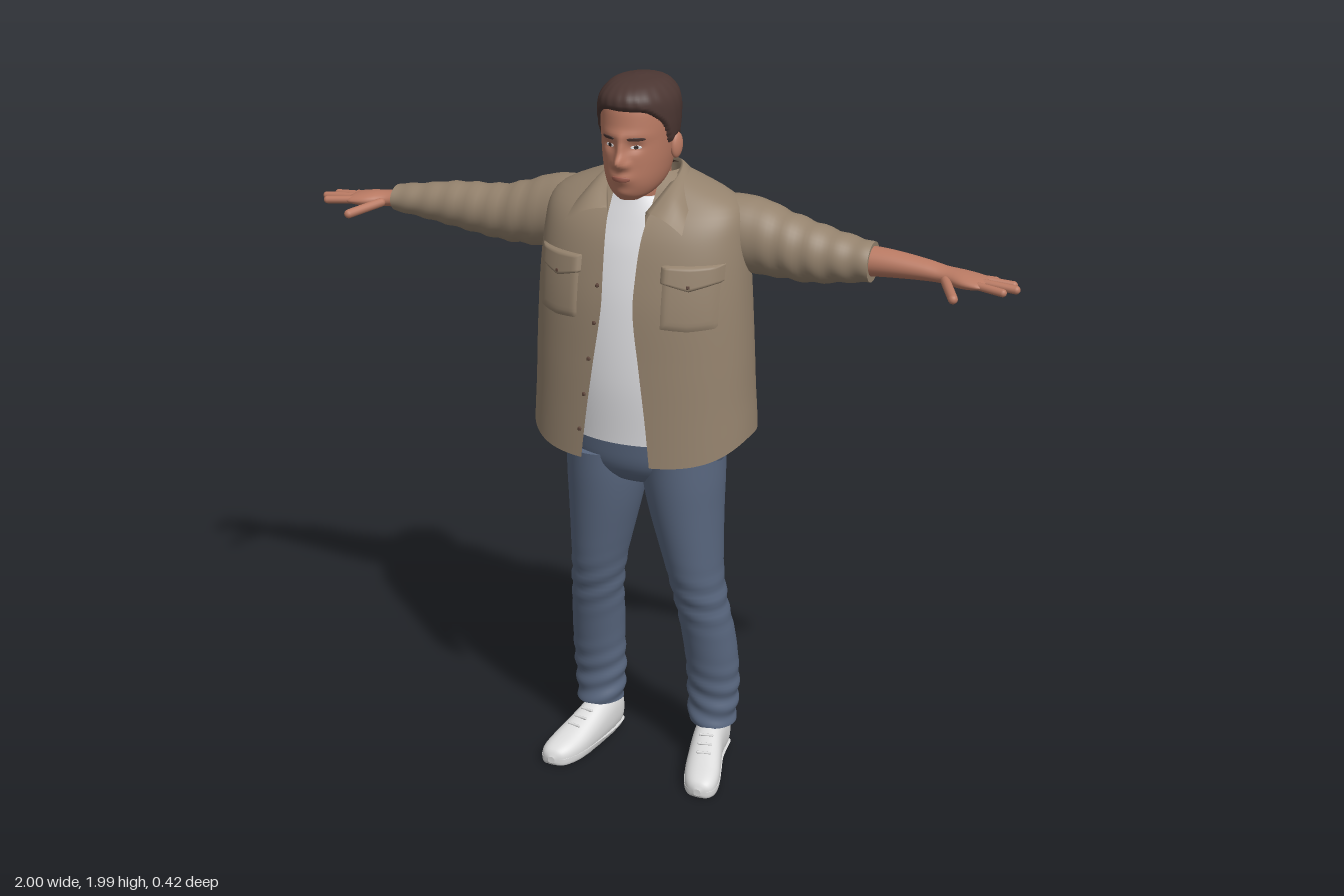
import * as THREE from 'three';

const mat = (name, color, side = THREE.FrontSide) => {
  const m = new THREE.MeshStandardMaterial({ color, side });
  m.name = name;
  return m;
};
const lerp = THREE.MathUtils.lerp, smooth = THREE.MathUtils.smoothstep;
const spow = (v, p) => Math.sign(v) * Math.pow(Math.abs(v), p);
const bell = (d, w) => Math.exp(-(d * d) / (w * w));

// Smoothly interpolates rows of [position, ...values] at position s
function at(keys, s) {
  let i = 0;
  while (i < keys.length - 2 && s > keys[i + 1][0]) i++;
  const a = keys[i], b = keys[i + 1], p = keys[i - 1] ?? a, q = keys[i + 2] ?? b;
  const h = b[0] - a[0], f = THREE.MathUtils.clamp((s - a[0]) / h, 0, 1);
  return a.map((_, k) => {
    const m0 = (b[k] - p[k]) / (b[0] - p[0]) * h, m1 = (q[k] - a[k]) / (q[0] - a[0]) * h;
    const f2 = f * f, f3 = f2 * f;
    return (2 * f3 - 3 * f2 + 1) * a[k] + (f3 - 2 * f2 + f) * m0 + (3 * f2 - 2 * f3) * b[k] + (f3 - f2) * m1;
  });
}

// Grid surface from fn(u, rowValue)
function surface(fn, nu, rows, closed = false, flip = false) {
  const pos = [], idx = [], w = closed ? nu : nu + 1;
  rows.forEach(r => { for (let j = 0; j < w; j++) pos.push(...fn(j / nu, r)); });
  for (let i = 0; i < rows.length - 1; i++) for (let j = 0; j < nu; j++) {
    const a = i * w + j, b = i * w + (j + 1) % w, c = a + w, d = b + w;
    idx.push(...(flip ? [a, d, b, a, c, d] : [a, b, d, a, d, c]));
  }
  const g = new THREE.BufferGeometry();
  g.setAttribute('position', new THREE.Float32BufferAttribute(pos, 3));
  g.setIndex(idx);
  g.computeVertexNormals();
  return g;
}
const steps = n => Array.from({ length: n + 1 }, (_, i) => i / n);

// Capped loft along an axis; keys are [position, c1, c2, r1, r2], c1/c2 on the two following axes
function loft(axis, keys, nu, nv, { p = 1, swell = () => 1, warp = q => q } = {}) {
  const ease = steps(nv).map(v => ({ v: (1 - Math.cos(Math.PI * v)) / 2, k: 1 }));
  const first = ease[0], last = ease[nv];
  const rows = [{ v: 0, k: 0 }, first, ...ease, last, { v: 1, k: 0 }];
  return surface((u, r) => {
    const s = lerp(keys[0][0], keys[keys.length - 1][0], r.v), [, c1, c2, r1, r2] = at(keys, s);
    const t = u * Math.PI * 2, k = r.k * swell(s, t), o = [0, 0, 0];
    o[axis] = s;
    o[(axis + 1) % 3] = c1 + r1 * k * spow(Math.cos(t), p);
    o[(axis + 2) % 3] = c2 + r2 * k * spow(Math.sin(t), p);
    return warp(o, t);
  }, nu, rows, true);
}

function mirrored(g, s) {
  if (s > 0) return g;
  g.scale(-1, 1, 1);
  const a = g.index.array;
  for (let i = 0; i < a.length; i += 3) [a[i], a[i + 1]] = [a[i + 1], a[i]];
  return g;
}

// Thin raised patch following a front surface zAt(x, y), sinking in at its border
const patch = (zAt, xy, off, n = 16) => surface((u, v) => {
  const [x, y] = xy(u, v), e = Math.min(u, 1 - u, v, 1 - v);
  return [x, y, zAt(x, y) + lerp(-0.002, off, Math.min(1, e * 12))];
}, n, steps(n));
const oval = (cx, cy, rx, ry) => (u, v) => {
  const a = u * 2 - 1, b = v * 2 - 1;
  return [cx + rx * a * Math.sqrt(1 - b * b / 2), cy + ry * b * Math.sqrt(1 - a * a / 2)];
};

// Jacket body: [y, half width, front z, back z, opening half width]
const JACKET = [[0.98, 0.31, 0.22, -0.21, 0.098], [1.1, 0.305, 0.215, -0.205, 0.085], [1.25, 0.3, 0.208, -0.195, 0.065],
  [1.4, 0.293, 0.198, -0.185, 0.045], [1.5, 0.287, 0.18, -0.172, 0.046], [1.58, 0.28, 0.157, -0.16, 0.05],
  [1.63, 0.272, 0.13, -0.147, 0.055], [1.665, 0.25, 0.1, -0.135, 0.057], [1.69, 0.205, 0.08, -0.125, 0.058],
  [1.715, 0.14, 0.06, -0.11, 0.056], [1.735, 0.085, 0.04, -0.095, 0.05]];
const JP = 0.9;
function jacketPoint(u, v, shrink) {
  const y = lerp(0.98, 1.735, v), [, rx, zf, zb, e] = at(JACKET, y);
  const t0 = Math.asin(Math.pow(e / rx, 1 / JP)), t = lerp(t0, Math.PI * 2 - t0, u);
  const z = (zf + zb) / 2 + (zf - zb) / 2 * spow(Math.cos(t), JP);
  const hem = 0.055 * (1 - smooth(z, 0.02, 0.22)) * (1 - smooth(y, 0.98, 1.2));
  return [rx * spow(Math.sin(t), JP) * shrink, y + hem, z * shrink];
}
function jacketZ(x, y) {
  const [, rx, zf, zb] = at(JACKET, y), t = Math.asin(Math.pow(Math.abs(x) / rx, 1 / JP));
  return (zf + zb) / 2 + (zf - zb) / 2 * Math.pow(Math.cos(t), JP);
}

// Head: [y, z centre, x centre, z radius, x radius] plus facial relief
const HEAD = [[1.683, 0.11, 0, 0.028, 0.028], [1.70, 0.085, 0, 0.065, 0.055], [1.73, 0.06, 0, 0.104, 0.075],
  [1.78, 0.05, 0, 0.117, 0.087], [1.84, 0.047, 0, 0.118, 0.093], [1.89, 0.045, 0, 0.117, 0.096],
  [1.93, 0.042, 0, 0.112, 0.093], [1.955, 0.04, 0, 0.095, 0.077], [1.972, 0.04, 0, 0.065, 0.052], [1.98, 0.04, 0, 0.015, 0.013]];
const relief = (x, y) => 0.03 * bell(x, 0.014) * bell(y - 1.79, 0.019) + 0.013 * bell(x, 0.011) * bell(y - 1.825, 0.025)
  + 0.008 * bell(Math.abs(x) - 0.018, 0.009) * bell(y - 1.782, 0.01) - 0.009 * bell(Math.abs(x) - 0.036, 0.017) * bell(y - 1.828, 0.013)
  + 0.006 * bell(y - 1.857, 0.013) * bell(x, 0.06) + 0.009 * bell(x, 0.028) * bell(y - 1.746, 0.015) + 0.006 * bell(x, 0.03) * bell(y - 1.703, 0.014);
function headZ(x, y) {
  const [, cz, , rz, rx] = at(HEAD, y);
  return cz + rz * Math.sqrt(Math.max(0, 1 - (x / rx) ** 2)) + relief(x, y);
}
// Hairline height by angle from the face, in degrees
const HAIRLINE = [[0, 1.918], [35, 1.915], [55, 1.895], [68, 1.87], [80, 1.825], [92, 1.835], [108, 1.825], [125, 1.77], [180, 1.75]];

export function createModel() {
  const root = new THREE.Group();
  const jacket = mat('tan jacket', 0x94826d, THREE.DoubleSide), lining = mat('brown lining', 0x5c443a),
    denim = mat('blue denim', 0x59677f), skin = mat('skin', 0xb97a63), hair = mat('dark brown hair', 0x4b3632),
    white = mat('white cotton', 0xdfdfe2), shoeWhite = mat('shoe white', 0xdcdcdc), lips = mat('lips', 0x9f5f50), dark = mat('dark eyes', 0x2c211f);
  const add = (name, g, m, parent = root) => {
    const mesh = new THREE.Mesh(g, m);
    mesh.name = name;
    parent.add(mesh);
    return mesh;
  };

  // Head, face and hair
  add('head', loft(1, HEAD, 112, 72, { warp: ([x, y, z]) => [x, y, z + (z > 0.09 ? relief(x, y) * smooth(z, 0.09, 0.13) : 0)] }), skin);
  add('neck', loft(1, [[1.58, -0.01, 0, 0.08, 0.085], [1.64, 0, 0, 0.078, 0.074], [1.7, 0.012, 0, 0.076, 0.07], [1.77, 0.015, 0, 0.074, 0.07]], 40, 12), skin);
  add('hair', loft(1, HEAD, 112, 72, {
    warp: ([x, y, z], t) => {
      const deg = Math.abs(t > Math.PI ? t - Math.PI * 2 : t) * 180 / Math.PI;
      const over = smooth(y - at(HAIRLINE, deg)[1], -0.006, 0.008);
      const k = lerp(0.9, 1.09 + 0.008 * Math.sin(t * 22 + y * 60), over), quiff = 0.018 * over * bell(y - 1.95, 0.03) * smooth(z, 0.05, 0.14);
      return [x * k, y + 0.012 * over * smooth(y, 1.9, 1.97), 0.045 + (z - 0.045) * k + quiff];
    },
  }), hair);
  add('mouth', patch(headZ, oval(0, 1.746, 0.028, 0.008), 0.002), lips);
  for (const s of [1, -1]) {
    const ear = add('ear', new THREE.SphereGeometry(1, 20, 14), skin);
    ear.scale.set(0.012, 0.034, 0.021);
    ear.position.set(s * 0.097, 1.812, 0.03);
    ear.rotation.set(-0.15, s * -0.3, 0);
    add('eye', patch(headZ, oval(s * 0.036, 1.828, 0.014, 0.005), 0.002), white);
    add('iris', patch(headZ, oval(s * 0.036, 1.828, 0.006, 0.005), 0.004), dark);
    add('eyebrow', patch(headZ, oval(s * 0.038, 1.85, 0.022, 0.005), 0.003), hair);
  }

  // T-shirt
  add('tShirt', loft(1, [[1.02, 0.005, 0, 0.172, 0.235], [1.2, 0.005, 0, 0.18, 0.245], [1.4, 0.003, 0, 0.168, 0.24],
    [1.54, -0.003, 0, 0.146, 0.22], [1.62, -0.003, 0, 0.118, 0.17], [1.68, 0.003, 0, 0.087, 0.085]], 56, 40), white);

  // Jacket shell, lining and collar
  add('jacketBody', surface((u, v) => jacketPoint(u, v, 1), 96, steps(48)), jacket);
  add('jacketLining', surface((u, v) => jacketPoint(u, v, 0.98), 96, steps(48), false, true), lining);
  const around = half => new THREE.CatmullRomCurve3([...half.slice(1).reverse().map(([x, y, z]) => [-x, y, z]), ...half].map(p => new THREE.Vector3(...p)));
  const fold = around([[0, 1.742, -0.1], [0.06, 1.745, -0.078], [0.088, 1.735, -0.01], [0.08, 1.7, 0.075], [0.055, 1.655, 0.135]]);
  const outer = around([[0, 1.69, -0.137], [0.08, 1.695, -0.12], [0.137, 1.69, -0.03], [0.155, 1.655, 0.095], [0.165, 1.612, 0.155]]);
  add('collar', surface((u, v) => {
    const f = fold.getPoint(u), o = outer.getPoint(u);
    if (v < 0.3) return [f.x * 0.95, f.y - (0.3 - v) * 0.15, f.z - 0.004];
    const k = (v - 0.3) / 0.7, lift = 0.012 * Math.sin(Math.PI * k);
    return [lerp(f.x, o.x, k), lerp(f.y, o.y, k) + lift, lerp(f.z, o.z, k) + lift * 0.5];
  }, 64, steps(10)), jacket);
  for (const s of [1, -1]) {
    const px = u => s * 0.185 + (u - 0.5) * 0.14;
    add('pocket', patch(jacketZ, (u, v) => [px(u), lerp(1.355 + 0.012 * Math.abs(u - 0.5), 1.51, v)], 0.005), jacket);
    add('pocketFlap', patch(jacketZ, (u, v) => [px(u) + (u - 0.5) * 0.01, lerp(1.462 + 0.045 * Math.abs(u - 0.5), 1.53, v)], 0.012), jacket);
    add('pocketButton', patch(jacketZ, oval(s * 0.185, 1.478, 0.006, 0.006), 0.014, 6), lining);
  }
  for (let i = 0; i < 5; i++) {
    const y = 1.06 + i * 0.1, x = -at(JACKET, y)[4] - 0.014;
    add('frontButton', patch(jacketZ, oval(x, y, 0.006, 0.006), 0.005, 6), lining);
  }

  // Arms: one sleeve is pushed up further than the other
  const sleeveStart = [[0.17, 1.585, -0.04, 0.09, 0.075], [0.24, 1.575, -0.052, 0.1, 0.088], [0.3, 1.566, -0.06, 0.1, 0.09], [0.37, 1.553, -0.06, 0.089, 0.082]];
  const sleeves = {
    1: [...sleeveStart, [0.45, 1.54, -0.062, 0.079, 0.074], [0.53, 1.535, -0.065, 0.064, 0.064], [0.605, 1.533, -0.065, 0.052, 0.053]],
    '-1': [...sleeveStart, [0.45, 1.543, -0.062, 0.077, 0.074], [0.6, 1.546, -0.065, 0.062, 0.064], [0.7, 1.546, -0.06, 0.047, 0.052], [0.775, 1.546, -0.056, 0.037, 0.046]],
  };
  for (const s of [1, -1]) {
    const arm = new THREE.Group();
    arm.name = s > 0 ? 'leftArm' : 'rightArm';
    root.add(arm);
    const folds = (x, t) => 1 + 0.03 * smooth(x, 0.26, 0.4) * Math.sin(x * 95 + 2.2 * Math.sin(t + 0.6));
    add('sleeve', mirrored(loft(0, sleeves[s], 40, 56, { swell: folds }), s), jacket, arm);
    add('forearmAndPalm', mirrored(loft(0, [[0.54, 1.535, -0.065, 0.043, 0.045], [0.65, 1.537, -0.063, 0.036, 0.041],
      [0.75, 1.533, -0.06, 0.027, 0.035], [0.8, 1.528, -0.057, 0.022, 0.034], [0.85, 1.526, -0.045, 0.021, 0.046],
      [0.895, 1.524, -0.042, 0.015, 0.048], [0.912, 1.523, -0.042, 0.008, 0.042]], 32, 32), s), skin, arm);
    // Fingers from [knuckle x, y, z] to [tip x, y, z]
    for (const [a, b, r] of [[[0.86, 1.523, -0.08], [0.922, 1.518, -0.092], 0.0095], [[0.89, 1.525, -0.064], [0.973, 1.519, -0.07], 0.0105],
      [[0.89, 1.526, -0.038], [0.989, 1.52, -0.033], 0.011], [[0.89, 1.525, -0.012], [0.965, 1.521, 0.006], 0.0105], [[0.81, 1.524, -0.02], [0.858, 1.512, 0.075], 0.0125]]) {
      const A = new THREE.Vector3(...a), d = new THREE.Vector3(...b).sub(A), len = d.length();
      const g = new THREE.CapsuleGeometry(r, len, 6, 14);
      g.applyQuaternion(new THREE.Quaternion().setFromUnitVectors(new THREE.Vector3(0, 1, 0), d.clone().normalize()));
      g.translate(...A.addScaledVector(d, 0.5).toArray());
      add('finger', mirrored(g, s), skin, arm);
    }
    if (s < 0) arm.children.slice(1).forEach(m => { m.position.y = 0.012; });
  }

  // Jeans
  add('jeansHips', loft(1, [[0.865, 0, 0, 0.06, 0.07], [0.885, 0, 0, 0.1, 0.15], [0.93, 0, 0, 0.137, 0.215], [1, 0, 0, 0.15, 0.229], [1.06, 0, 0, 0.152, 0.228]], 56, 24), denim);
  const LEG = [[0.115, -0.055, 0.18, 0.066, 0.067], [0.2, -0.06, 0.181, 0.066, 0.073], [0.3, -0.052, 0.18, 0.072, 0.075], [0.4, -0.037, 0.173, 0.077, 0.075],
    [0.5, -0.013, 0.162, 0.077, 0.073], [0.6, 0, 0.148, 0.09, 0.077], [0.7, 0.003, 0.134, 0.105, 0.089], [0.8, 0.004, 0.121, 0.12, 0.102], [0.88, 0.003, 0.114, 0.132, 0.11], [0.96, 0, 0.11, 0.143, 0.112]];
  const legFolds = (y, t) => 1 + (0.05 * (1 - smooth(y, 0.2, 0.36)) + 0.045 * bell(y - 0.52, 0.07)) * Math.sin(y * 105 + 2.5 * Math.sin(t + 0.5));

  // Shoes
  const SHOE = [[-0.122, 0.18, 0.055, 0.02, 0.04], [-0.105, 0.18, 0.063, 0.038, 0.064], [-0.05, 0.183, 0.064, 0.044, 0.069], [0, 0.19, 0.058, 0.046, 0.064], [0.06, 0.205, 0.043, 0.05, 0.053],
    [0.12, 0.221, 0.029, 0.052, 0.043], [0.165, 0.232, 0.023, 0.045, 0.034], [0.188, 0.236, 0.02, 0.03, 0.024], [0.197, 0.237, 0.018, 0.01, 0.01]];
  for (const s of [1, -1]) {
    const leg = new THREE.Group();
    leg.name = s > 0 ? 'leftLeg' : 'rightLeg';
    root.add(leg);
    const shift = (d, top) => ([x, y, z]) => [x - (s < 0 ? d * (1 - y / top) : 0), Math.max(0, y), z];
    add('trouserLeg', mirrored(loft(1, LEG, 48, 96, { swell: legFolds, warp: shift(0.015, 1) }), s), denim, leg);
    add('shoe', mirrored(loft(2, SHOE, 40, 40, { p: 0.85, warp: shift(0.026, 100) }), s), shoeWhite, leg);
    add('sole', mirrored(loft(2, SHOE, 40, 40, {
      p: 0.6, swell: () => 1.03, warp: q => { const r = shift(0.026, 100)(q); r[1] = Math.min(r[1], 0.022); return r; },
    }), s), shoeWhite, leg);
    for (let i = 0; i < 3; i++) {
      const z = 0.035 + i * 0.028, [, cx, cy, , ry] = at(SHOE, z);
      const lace = add('lace', new THREE.CapsuleGeometry(0.004, 0.034, 3, 8), shoeWhite, leg);
      lace.rotation.set(0, s * 0.2, Math.PI / 2);
      lace.position.set(s * (cx - (s < 0 ? 0.026 : 0)), cy + ry, z);
    }
  }
  return root;
}
